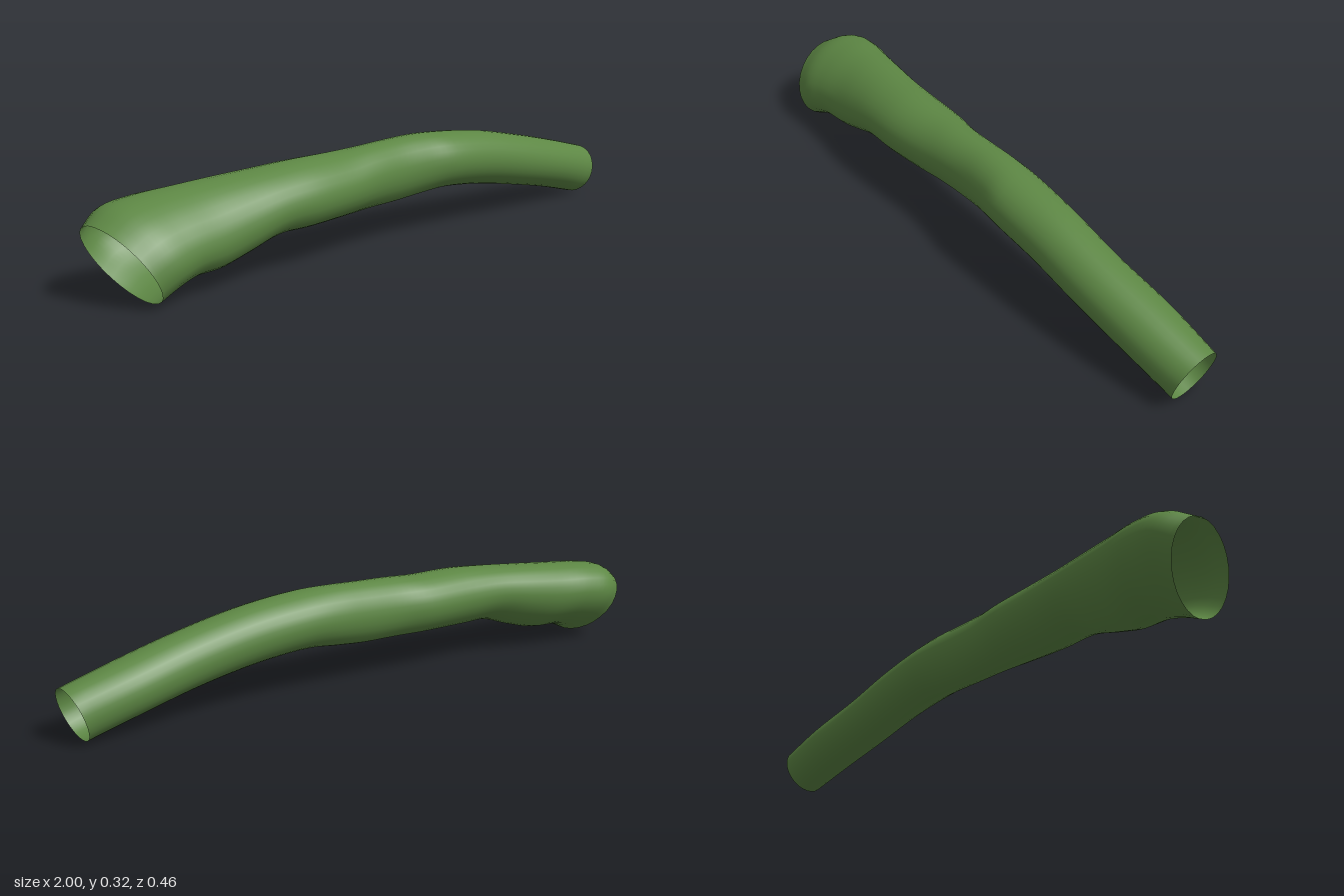
import * as THREE from 'three';

const SIDES = 28;
const ROWS = 72;

// Cross-sections along the stem: [x, yMin, yMax, zMin, zMax, tilt, lean in x from centre to top]
const stations = [
  [-0.945, 0.0, 0.22, -0.205, 0.07, -0.3, -0.055],
  [-0.88, 0.028, 0.258, -0.232, 0.08, -0.3, -0.05],
  [-0.8, 0.046, 0.275, -0.22, 0.08, -0.28, -0.035],
  [-0.7, 0.05, 0.285, -0.19, 0.085, -0.24, -0.02],
  [-0.6, 0.075, 0.294, -0.16, 0.095, -0.2, -0.01],
  [-0.48, 0.11, 0.303, -0.125, 0.11, -0.15, 0],
  [-0.36, 0.111, 0.31, -0.105, 0.125, -0.1, 0],
  [-0.2, 0.115, 0.311, -0.085, 0.13, -0.05, 0],
  [-0.1, 0.118, 0.316, -0.06, 0.13, 0, 0],
  [0.02, 0.12, 0.321, -0.043, 0.135, 0, 0],
  [0.12, 0.128, 0.324, -0.033, 0.152, 0, 0],
  [0.22, 0.136, 0.321, -0.022, 0.178, 0, 0],
  [0.4, 0.121, 0.301, 0.005, 0.197, 0, 0.01],
  [0.6, 0.086, 0.26, 0.03, 0.216, 0, 0.015],
  [0.8, 0.044, 0.212, 0.038, 0.225, 0, 0.02],
  [0.975, 0.0, 0.165, 0.058, 0.225, 0, 0.025],
];

// One point on the rim of a tilted oval section
function sectionPoint([x, y0, y1, z0, z1, tilt, lean], angle) {
  const rise = Math.sin(angle + tilt);
  return new THREE.Vector3(
    x + lean * rise,
    (y0 + y1) / 2 + ((y1 - y0) / 2) * rise,
    (z0 + z1) / 2 + ((z1 - z0) / 2) * Math.cos(angle)
  );
}

// Skin the sections with smooth lengthwise curves; both ends stay open
function stemGeometry() {
  const positions = [];
  const index = [];
  for (let j = 0; j < SIDES; j++) {
    const angle = (j / SIDES) * Math.PI * 2;
    const line = new THREE.CatmullRomCurve3(stations.map((s) => sectionPoint(s, angle)));
    for (let i = 0; i <= ROWS; i++) positions.push(...line.getPoint(i / ROWS).toArray());
  }
  const at = (i, j) => (j % SIDES) * (ROWS + 1) + i;
  for (let j = 0; j < SIDES; j++) {
    for (let i = 0; i < ROWS; i++) {
      index.push(at(i, j), at(i + 1, j), at(i + 1, j + 1));
      index.push(at(i, j), at(i + 1, j + 1), at(i, j + 1));
    }
  }
  const geometry = new THREE.BufferGeometry();
  geometry.setAttribute('position', new THREE.Float32BufferAttribute(positions, 3));
  geometry.setIndex(index);
  geometry.computeVertexNormals();
  return geometry;
}

export function createModel() {
  const green = new THREE.MeshStandardMaterial({ color: 0x5d8744, side: THREE.DoubleSide });
  green.name = 'stem green';

  const stem = new THREE.Mesh(stemGeometry(), green);
  stem.name = 'hollowStem';

  const model = new THREE.Group();
  model.name = 'curvedStem';
  model.add(stem);
  return model;
}
